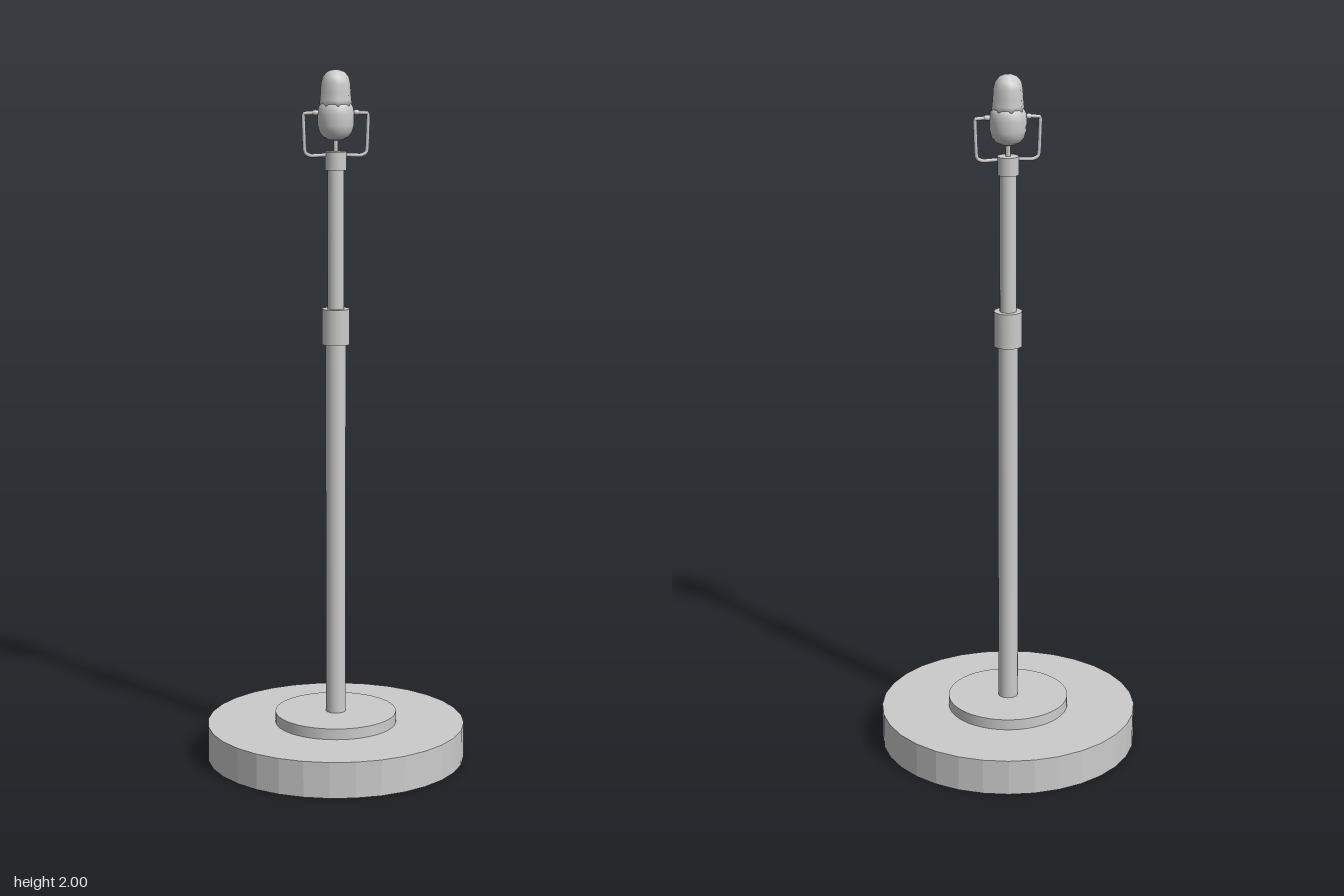
import * as THREE from 'three';

const grey = new THREE.MeshStandardMaterial({ color: 0xcccccc, side: THREE.DoubleSide });
const faceted = new THREE.MeshStandardMaterial({ color: 0xcccccc, flatShading: true });

export function createModel() {
  const model = new THREE.Group();

  function add(name, geometry, material = grey) {
    const mesh = new THREE.Mesh(geometry, material);
    mesh.name = name;
    model.add(mesh);
    return mesh;
  }

  // Upright cylinder between two heights
  function column(name, radius, y0, y1, sides = 24, material = grey) {
    add(name, new THREE.CylinderGeometry(radius, radius, y1 - y0, sides), material).position.y = (y0 + y1) / 2;
  }

  // Turned solid from [radius, height] pairs, bottom to top
  function turned(name, profile, sides) {
    add(name, new THREE.LatheGeometry(profile.map(([r, y]) => new THREE.Vector2(r, y)), sides));
  }

  // Weighted foot and telescopic pole
  column('base', 0.376, 0, 0.105, 32, faceted);
  column('basePlate', 0.177, 0.105, 0.137, 48);
  column('lowerPole', 0.029, 0.137, 1.23);
  column('heightClutch', 0.04, 1.225, 1.327);
  column('upperPole', 0.0235, 1.32, 1.73);
  column('poleCollar', 0.03, 1.72, 1.772);
  column('stem', 0.007, 1.77, 1.815, 10);

  // Microphone cup with rounded bottom
  turned('microphoneCup', [
    [0, 1.803], [0.02, 1.805], [0.036, 1.813], [0.046, 1.827], [0.051, 1.845],
    [0.052, 1.875], [0.05, 1.893], [0.044, 1.905], [0.036, 1.908], [0, 1.908],
  ], 24);

  // Eight-sided domed grille
  turned('microphoneGrille', [
    [0.03, 1.89], [0.047, 1.9], [0.045, 1.915], [0.043, 1.935], [0.042, 1.96],
    [0.037, 1.98], [0.025, 1.994], [0.012, 1.999], [0, 2],
  ], 8);

  // Swivel yoke: one bent arm and pivot per side
  for (const [side, s] of [['left', 1], ['right', -1]]) {
    const corners = [[0.024, 1.763], [0.07, 1.761], [0.086, 1.768], [0.089, 1.785], [0.092, 1.872], [0.09, 1.879], [0.05, 1.881]]
      .map(([x, y]) => new THREE.Vector3(s * x, y, 0.003));
    const path = new THREE.CatmullRomCurve3(corners, false, 'catmullrom', 0.2);
    add(side + 'YokeArm', new THREE.TubeGeometry(path, 32, 0.0055, 8));
    const pivot = add(side + 'Pivot', new THREE.SphereGeometry(0.008, 10, 8));
    pivot.scale.x = 1.5;
    pivot.position.set(s * 0.058, 1.881, 0.003);
  }

  return model;
}
